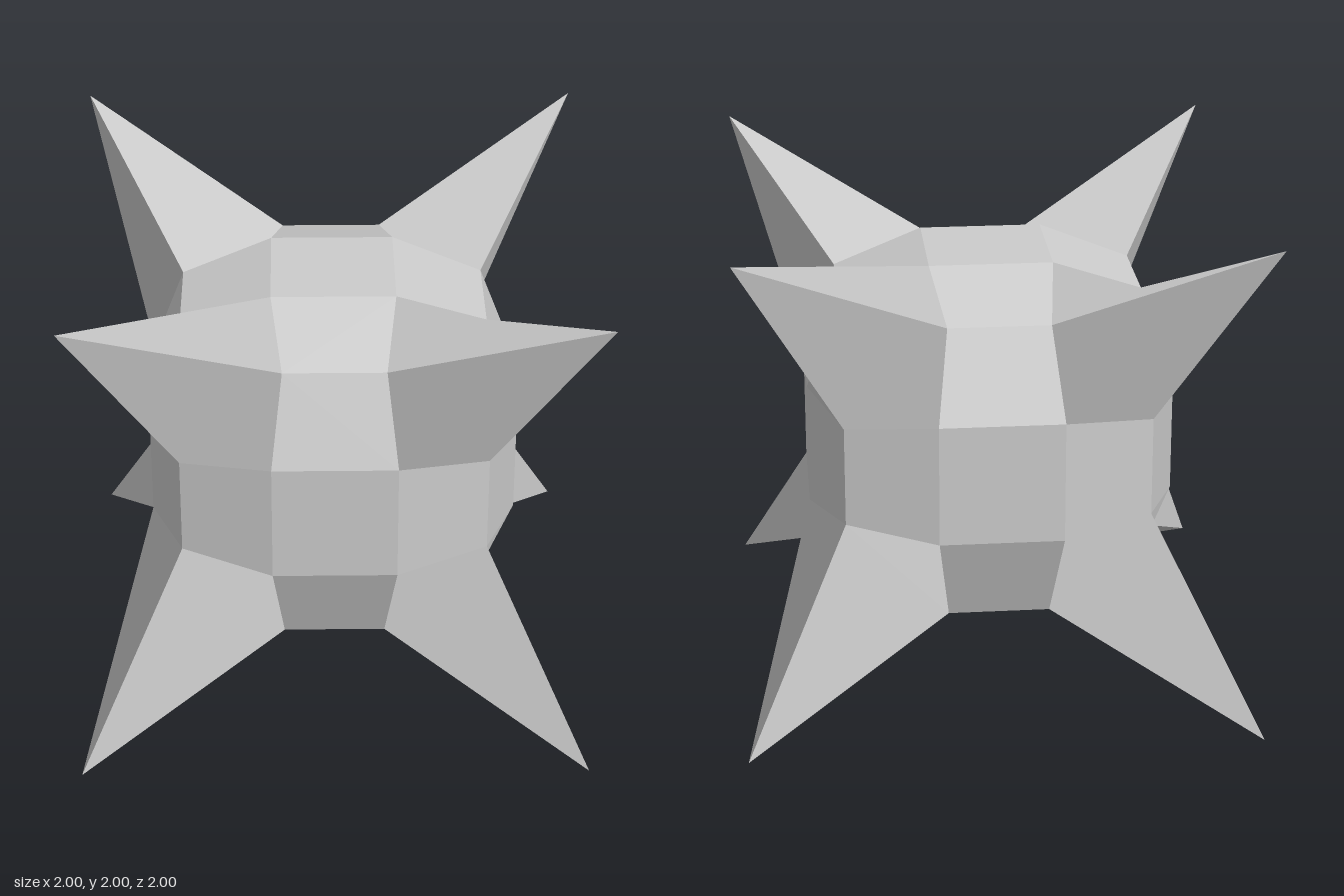
import * as THREE from 'three';

// Scale of a cube grid point by how many cube faces it touches: face, edge, corner
const SCALE = { 1: 0.726, 2: 0.596, 3: 1 };
const STEPS = [-1, -1 / 3, 1 / 3, 1];

// Sides of the cube: axis, direction, and which diagonal splits its quads
const SIDES = [
  [0, 1, 1], [0, -1, -1],
  [1, 1, -1], [1, -1, -1],
  [2, 1, -1], [2, -1, 1],
];

function gridPoint(axis, dir, u, v) {
  const c = [0, 0, 0];
  c[axis] = dir;
  c[(axis + 1) % 3] = u;
  c[(axis + 2) % 3] = v;
  const touching = c.filter((n) => Math.abs(n) === 1).length;
  return new THREE.Vector3(...c).multiplyScalar(SCALE[touching]);
}

// Cube with 3 x 3 quads per side, rounded in the middle, corners left as spikes
function spikedBall() {
  const positions = [];
  const normals = [];
  for (const [axis, dir, diagonal] of SIDES) {
    for (let i = 0; i < 3; i++) {
      for (let j = 0; j < 3; j++) {
        const at = (di, dj) => gridPoint(axis, dir, STEPS[i + di], STEPS[j + dj]);
        const [a, b, c, d] = [at(0, 0), at(1, 0), at(1, 1), at(0, 1)];
        // One flat normal for the whole quad
        const normal = c.clone().sub(a).cross(d.clone().sub(b)).normalize().multiplyScalar(dir);
        const tris = diagonal > 0 ? [[a, b, c], [a, c, d]] : [[a, b, d], [b, c, d]];
        for (const tri of tris) {
          if (dir < 0) tri.reverse();
          for (const p of tri) {
            positions.push(p.x, p.y, p.z);
            normals.push(normal.x, normal.y, normal.z);
          }
        }
      }
    }
  }
  const geometry = new THREE.BufferGeometry();
  geometry.setAttribute('position', new THREE.Float32BufferAttribute(positions, 3));
  geometry.setAttribute('normal', new THREE.Float32BufferAttribute(normals, 3));
  return geometry;
}

export function createModel() {
  const group = new THREE.Group();
  group.name = 'spikedBall';
  const body = new THREE.Mesh(spikedBall(), new THREE.MeshStandardMaterial({ color: 0xcccccc }));
  body.name = 'bodyWithSpikes';
  body.position.y = 1;
  group.add(body);
  return group;
}
